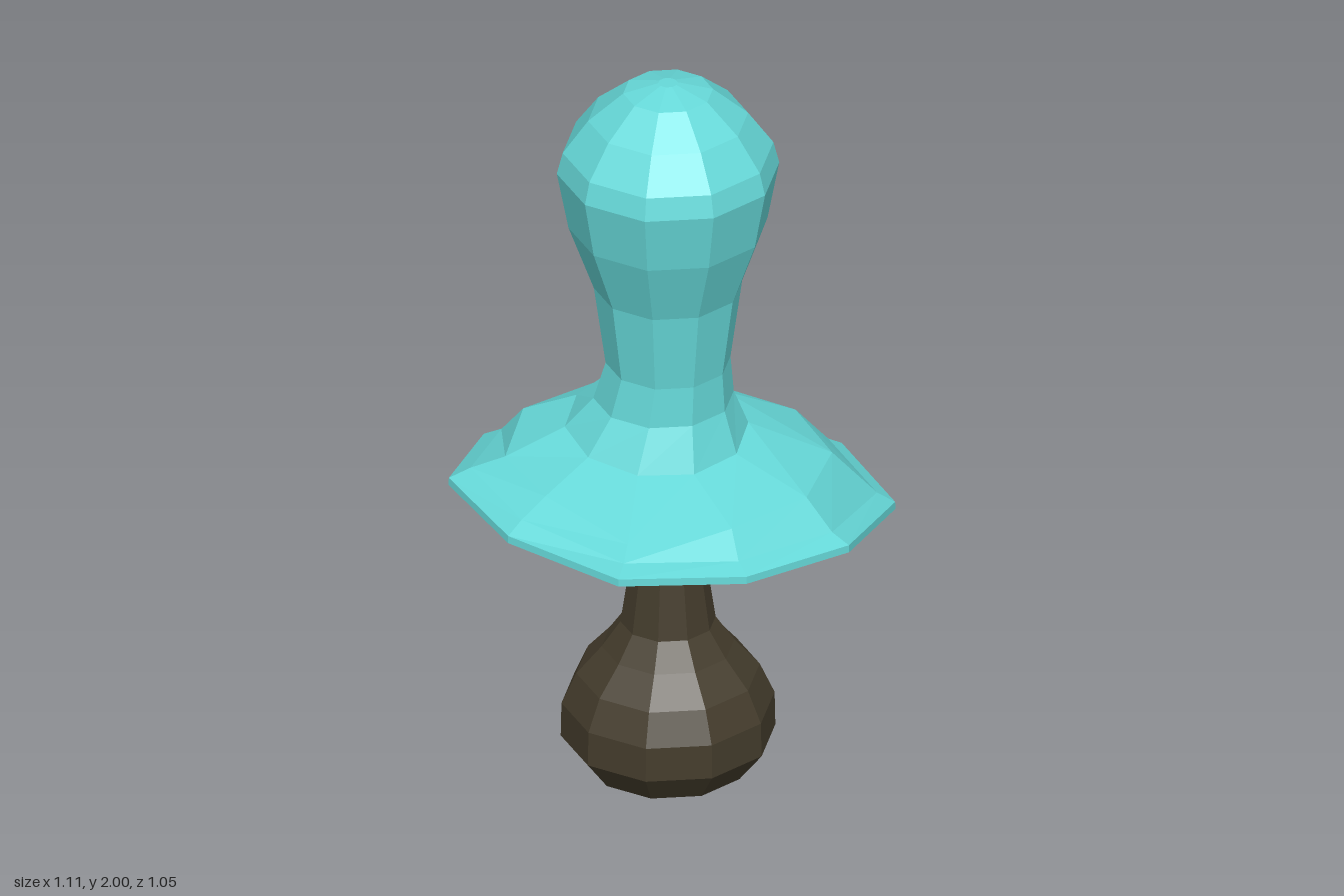
import * as THREE from 'three';

const SIDES = 10;

// Regular ring of points, starting at the back and turning towards +x; tilt lifts the back edge
function ring(radius, y, cx = -0.01, cz = 0.012, tilt = 0) {
  return Array.from({ length: SIDES }, (_, i) => {
    const a = (i / SIDES) * Math.PI * 2;
    return [cx + radius * Math.sin(a), y + tilt * Math.cos(a), cz - radius * Math.cos(a)];
  });
}

// Copy of a ring, scaled about the axis and moved in height
const shifted = (points, scale, dy) => points.map(([x, y, z]) => [x * scale, y + dy, z * scale]);

// Skin over a stack of rings, faceted
function loft(name, rings, color) {
  const index = [];
  for (let j = 0; j < rings.length - 1; j++) {
    for (let i = 0; i < SIDES; i++) {
      const n = (i + 1) % SIDES;
      const a = j * SIDES + i, b = j * SIDES + n;
      const c = a + SIDES, d = b + SIDES;
      index.push(a, c, b, b, c, d);
    }
  }
  const geometry = new THREE.BufferGeometry();
  geometry.setAttribute('position', new THREE.Float32BufferAttribute(rings.flat(2), 3));
  geometry.setIndex(index);
  geometry.computeVertexNormals();
  const mesh = new THREE.Mesh(
    geometry,
    new THREE.MeshStandardMaterial({ color, flatShading: true, side: THREE.DoubleSide })
  );
  mesh.name = name;
  return mesh;
}

export function createModel() {
  const group = new THREE.Group();
  group.name = 'plunger';

  // Warped, uneven brim: outer edge, lip just inside it, and shoulder
  const rim = [
    [-0.01, 0.755, -0.53], [0.36, 0.71, -0.43], [0.55, 0.71, -0.155], [0.55, 0.71, 0.18],
    [0.30, 0.78, 0.45], [-0.02, 0.80, 0.525], [-0.36, 0.85, 0.485], [-0.525, 0.85, 0.165],
    [-0.555, 0.87, -0.14], [-0.33, 0.80, -0.425],
  ];
  const lip = [
    [0, 0.80, -0.485], [0.32, 0.77, -0.385], [0.505, 0.76, -0.14], [0.505, 0.76, 0.165],
    [0.27, 0.825, 0.41], [-0.02, 0.84, 0.475], [-0.32, 0.88, 0.43], [-0.48, 0.90, 0.15],
    [-0.50, 0.915, -0.125], [-0.30, 0.85, -0.38],
  ];
  const shoulder = [
    [0, 0.905, -0.42], [0.26, 0.875, -0.33], [0.40, 0.885, -0.11], [0.395, 0.885, 0.13],
    [0.23, 0.90, 0.34], [-0.01, 0.90, 0.41], [-0.285, 0.90, 0.375], [-0.40, 0.935, 0.12],
    [-0.41, 0.935, -0.11], [-0.27, 0.94, -0.31],
  ];

  // Rubber cup: hollow underside, brim, neck and rounded head in one skin
  const head = [
    [1.19, 0.16], [1.41, 0.19], [1.59, 0.255], [1.75, 0.285], [1.81, 0.27],
    [1.90, 0.205], [1.975, 0.115], [2.0, 0.025], [2.0, 0],
  ];
  group.add(loft('rubberCup', [
    ring(0, 0.87),
    ring(0.22, 0.87),
    shifted(shoulder, 0.97, -0.045),
    shifted(lip, 0.98, -0.03),
    rim,
    shifted(rim, 0.998, 0.02),
    lip,
    shoulder,
    ring(0.235, 0.99, -0.03, -0.015, 0.025),
    ring(0.18, 1.08, -0.015, -0.005),
    ...head.map(([y, r]) => ring(r, y)),
  ], 0x66d9d9));

  // Handle: bulbous grip, slim neck and flare that meets the cup
  const grip = [
    [0, 0], [0.02, 0.21], [0.105, 0.275], [0.20, 0.273], [0.285, 0.235], [0.36, 0.17],
    [0.43, 0.122], [0.65, 0.09], [0.72, 0.135], [0.83, 0.25], [0.86, 0.22], [0.86, 0],
  ];
  group.add(loft('handle', grip.map(([y, r]) => ring(r, y)), 0x443c2c));

  return group;
}
